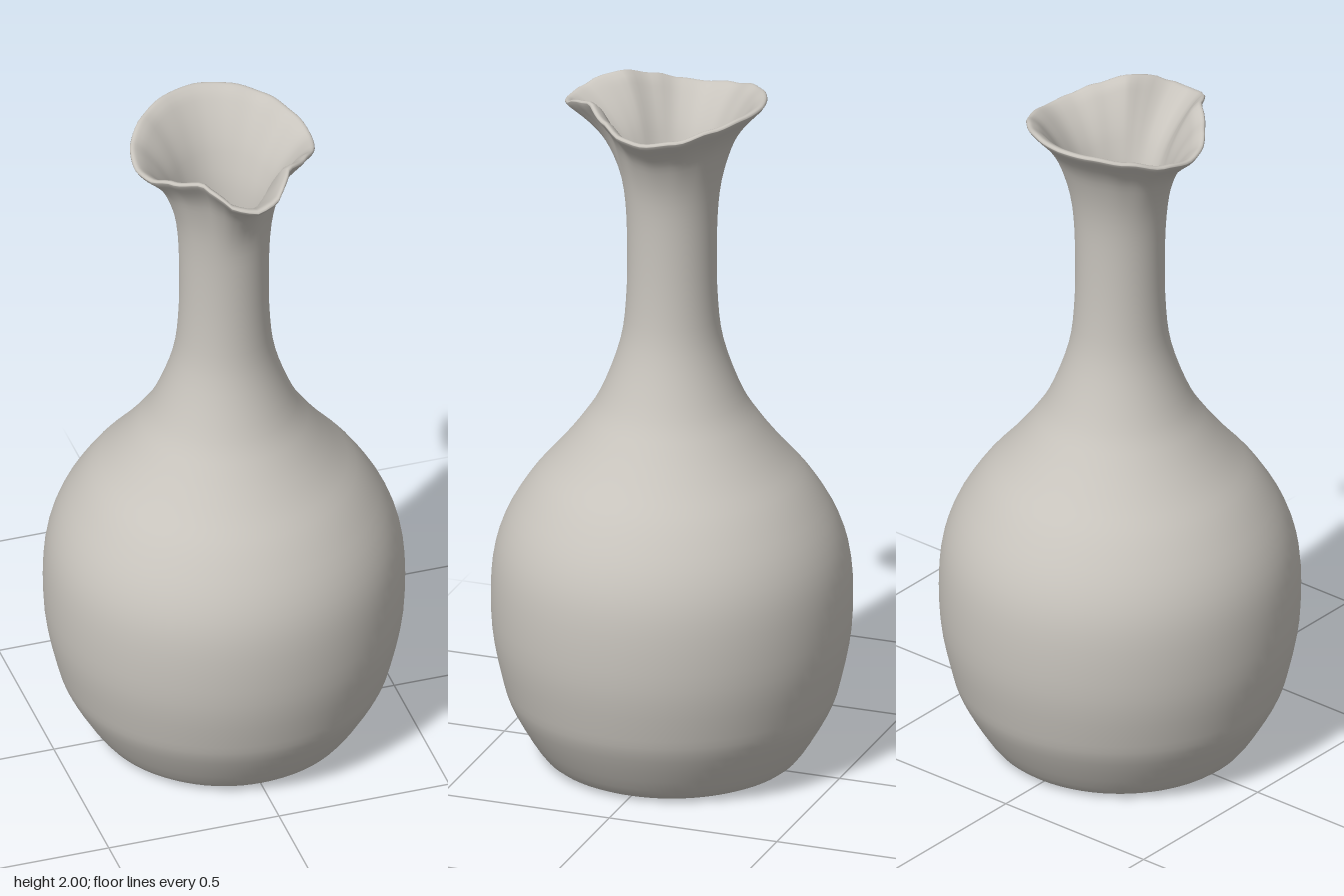
import * as THREE from 'three';
import { mergeVertices } from 'three/addons/utils/BufferGeometryUtils.js';

// Smooth curve through a few [a, b] pairs
const smooth = (pairs, n) =>
  new THREE.SplineCurve(pairs.map(([a, b]) => new THREE.Vector2(a, b))).getPoints(n);

// Rim outline around half the mouth: [degrees from the spout, radius, height]
const RIM = [
  [0, 0.315, 1.947], [11, 0.304, 1.957], [22, 0.27, 1.982], [33, 0.238, 1.992],
  [57, 0.239, 1.968], [75, 0.254, 1.946], [90, 0.26, 1.94], [112, 0.264, 1.955],
  [135, 0.262, 1.98], [158, 0.266, 1.994], [180, 0.272, 1.997],
];

// Cosine blend between the rim keys, mirrored left to right
function rimAt(angle) {
  const deg = Math.min(180, Math.abs(THREE.MathUtils.radToDeg(angle)));
  let i = 0;
  while (i < RIM.length - 2 && deg > RIM[i + 1][0]) i++;
  const [a, b] = [RIM[i], RIM[i + 1]];
  const t = (deg - a[0]) / (b[0] - a[0]);
  return { radius: THREE.MathUtils.lerp(a[1], b[1], t),
    height: THREE.MathUtils.lerp(a[2], b[2], t * t * (3 - 2 * t)) };
}

// Pull the round mouth into a wavy lip with a pouring spout
function shapeLip(geometry) {
  const p = geometry.attributes.position;
  for (let i = 0; i < p.count; i++) {
    const x = p.getX(i), y = p.getY(i), z = p.getZ(i);
    const t = THREE.MathUtils.clamp((y - 1.68) / 0.25, 0, 1);
    if (t === 0) continue;
    const w = Math.pow(t, 1.4);
    const rim = rimAt(Math.atan2(x, z));
    const s = 1 + w * (rim.radius / 0.26 - 1);
    p.setXYZ(i, x * s, y + w * (rim.height - 1.945), z * s);
  }
}

export function createModel() {
  const model = new THREE.Group();
  model.name = 'carafe';
  const clay = new THREE.MeshStandardMaterial({ color: 0xc8c4bd });
  clay.name = 'warm grey ceramic';

  // Hollow underside, from the centre to the foot
  const base = [[0, 0.035], [0.15, 0.03], [0.25, 0.015], [0.3, 0.004]]
    .map(([r, y]) => new THREE.Vector2(r, y));

  // Outside wall, foot to lip
  const outer = smooth([
    [0.325, 0.003], [0.37, 0.035], [0.445, 0.16], [0.475, 0.25], [0.503, 0.4], [0.503, 0.58],
    [0.47, 0.71], [0.4, 0.83], [0.32, 0.925], [0.255, 1.01], [0.2, 1.1], [0.146, 1.25],
    [0.128, 1.39], [0.126, 1.58], [0.136, 1.72], [0.165, 1.82], [0.2, 1.878], [0.254, 1.93],
  ], 60);

  // Rounded lip and inside wall, down to the floor
  const inner = smooth([
    [0.26, 1.94], [0.256, 1.946], [0.243, 1.944], [0.215, 1.92], [0.175, 1.87], [0.142, 1.81],
    [0.114, 1.72], [0.105, 1.58], [0.106, 1.39], [0.125, 1.25], [0.18, 1.1], [0.235, 1.01],
    [0.38, 0.82], [0.45, 0.7], [0.482, 0.58], [0.482, 0.4], [0.425, 0.17], [0.35, 0.07],
    [0.2, 0.06], [0, 0.06],
  ], 70);
  inner[inner.length - 1].x = 0;

  const geometry = new THREE.LatheGeometry([...base, ...outer, ...inner], 80);
  shapeLip(geometry);

  // Weld the seam so the shading is continuous
  geometry.deleteAttribute('uv');
  geometry.deleteAttribute('normal');
  const welded = mergeVertices(geometry, 1e-5);
  welded.computeVertexNormals();

  const vessel = new THREE.Mesh(welded, clay);
  vessel.name = 'vesselWithSpout';
  model.add(vessel);
  return model;
}
